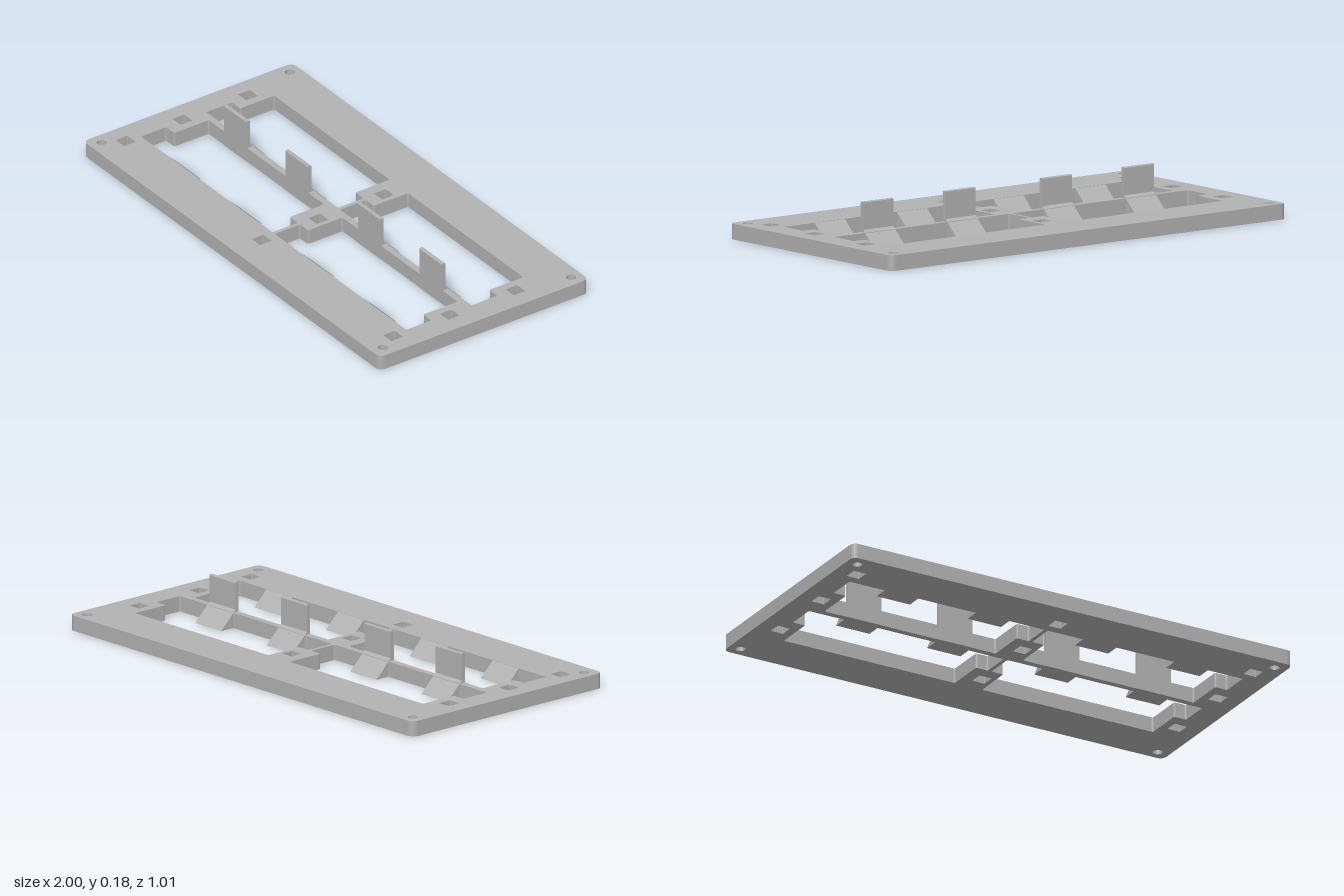
import * as THREE from 'three';

const H = 0.0625; // plate thickness

// Closed outline with small rounded corners, points given as [x, z]
function rounded(points, r, Type = THREE.Shape) {
  const path = new Type();
  const v = points.map(([x, y]) => new THREE.Vector2(x, y));
  v.forEach((p, i) => {
    const prev = v[(i + v.length - 1) % v.length];
    const next = v[(i + 1) % v.length];
    const a = p.clone().add(prev.clone().sub(p).setLength(r));
    const b = p.clone().add(next.clone().sub(p).setLength(r));
    if (i === 0) path.moveTo(a.x, a.y);
    else path.lineTo(a.x, a.y);
    path.quadraticCurveTo(p.x, p.y, b.x, b.y);
  });
  path.closePath();
  return path;
}

const rect = (x0, z0, x1, z1) => [[x0, z0], [x1, z0], [x1, z1], [x0, z1]];

// Bar along x with a (z, y) cross-section
function sideProfile(points, x0, x1) {
  const shape = new THREE.Shape(points.map(([z, y]) => new THREE.Vector2(z, y)));
  const geo = new THREE.ExtrudeGeometry(shape, { depth: x1 - x0, bevelEnabled: false });
  return geo.rotateY(-Math.PI / 2).translate(x1, 0, 0);
}

export function createModel() {
  const group = new THREE.Group();
  const grey = new THREE.MeshStandardMaterial({ color: 0xb2b2b2 });
  grey.name = 'grey';
  const add = (name, geo) => {
    const mesh = new THREE.Mesh(geo, grey);
    mesh.name = name;
    group.add(mesh);
  };

  // Frame plate
  const plate = rounded(rect(-1, -0.505, 1, 0.505), 0.03);

  // Four stepped windows: narrow towards the back, wide towards the front
  for (const [z0, zStep, z1] of [[-0.305, -0.14, -0.016], [0.012, 0.178, 0.3]]) {
    for (const [n0, n1, w0, w1] of [[-0.842, -0.064, -0.897, -0.01], [0.06, 0.838, 0.006, 0.892]]) {
      plate.holes.push(rounded([
        [n0, z0], [n1, z0], [n1, zStep], [w1, zStep],
        [w1, z1], [w0, z1], [w0, zStep], [n0, zStep],
      ], 0.008, THREE.Path));
    }
  }

  // Square peg holes
  const s = 0.028;
  for (const x of [-0.905, 0.012, 0.9]) {
    for (const z of [-0.223, 0.094, 0.368]) {
      plate.holes.push(rounded(rect(x - s, z - s, x + s, z + s), 0.003, THREE.Path));
    }
  }

  // Round corner screw holes
  for (const x of [-0.95, 0.948]) {
    for (const z of [-0.457, 0.452]) {
      plate.holes.push(new THREE.Path().absarc(x, z, 0.02, 0, Math.PI * 2));
    }
  }
  const frame = new THREE.ExtrudeGeometry(plate, { depth: H, bevelEnabled: false, curveSegments: 8 });
  add('frame', frame.rotateX(Math.PI / 2).translate(0, H, 0));

  // Upright tabs on the crossbar and sloping ramps behind both bars
  const tab = [[-0.003, 0], [0.0135, 0], [0.0135, 0.18], [0.01, 0.184], [0, 0.184], [-0.003, 0.181]];
  const backRamp = [[-0.079, 0], [-0.002, 0], [-0.002, 0.074]];
  const frontRamp = [[0.236, 0], [0.301, 0], [0.301, H]];
  for (const [x0, x1] of [[-0.736, -0.584], [-0.322, -0.17], [0.166, 0.318], [0.582, 0.734]]) {
    add('uprightTab', sideProfile(tab, x0, x1));
    add('crossbarRamp', sideProfile(backRamp, x0, x1));
    add('frontRamp', sideProfile(frontRamp, x0, x1));
  }
  return group;
}
